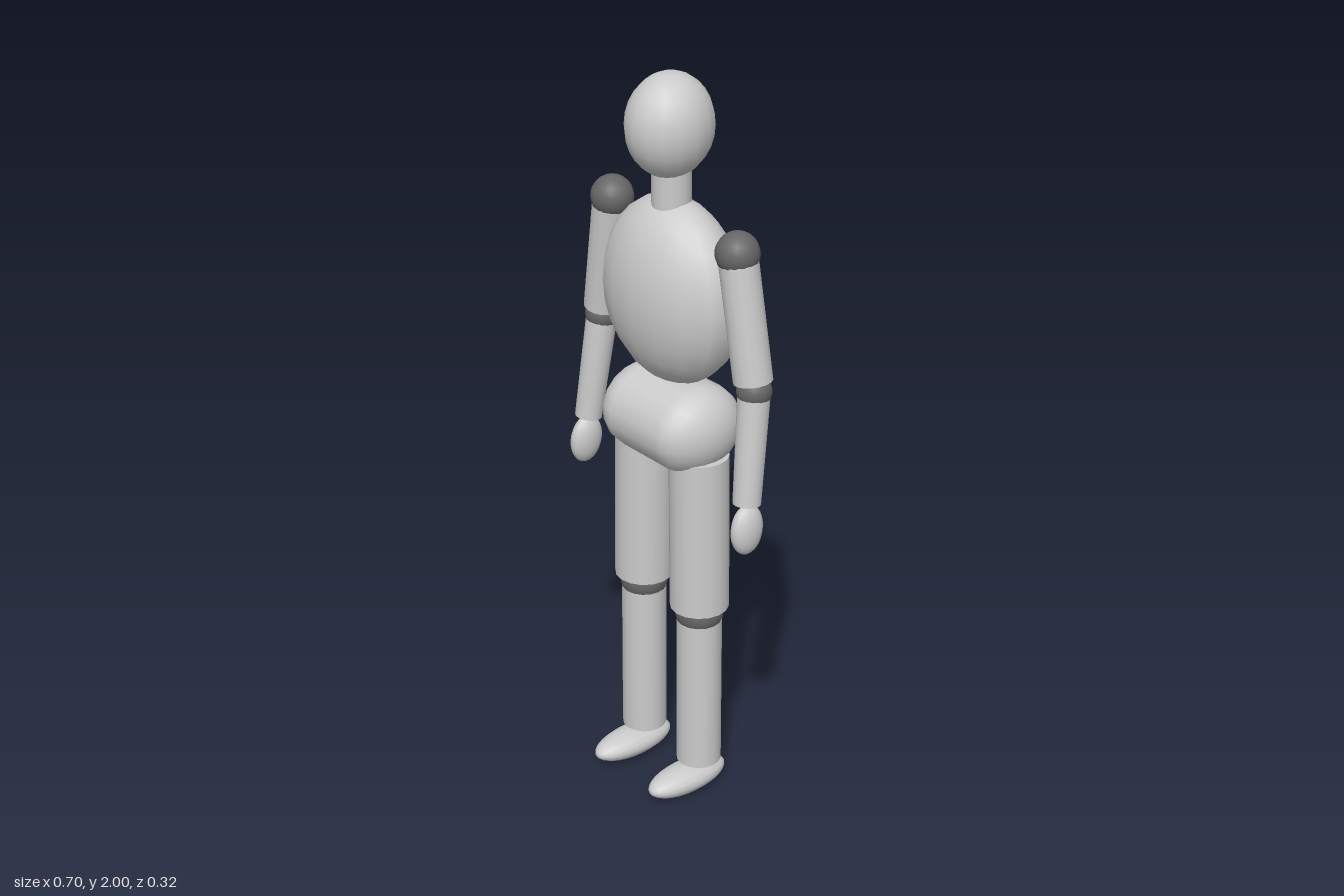
import * as THREE from 'three';

const body = new THREE.MeshStandardMaterial({ color: 0xcccccc });
const joint = new THREE.MeshStandardMaterial({ color: 0x666666 });
const V = (x, y, z) => new THREE.Vector3(x, y, z);

// Ellipsoid with the given centre and radii
function ellipsoid(name, center, radii, material = body) {
  const mesh = new THREE.Mesh(new THREE.SphereGeometry(1, 16, 14), material);
  mesh.name = name;
  mesh.position.copy(center);
  mesh.scale.copy(radii);
  return mesh;
}

const ball = (name, center, r) => ellipsoid(name, center, V(r, r, r), joint);

// Capped round limb running from its top point to its bottom point
function limb(name, top, bottom, rTop, rBottom = rTop) {
  const axis = top.clone().sub(bottom);
  const mesh = new THREE.Mesh(new THREE.CylinderGeometry(rTop, rBottom, axis.length(), 16), body);
  mesh.name = name;
  mesh.position.copy(top).add(bottom).multiplyScalar(0.5);
  mesh.quaternion.setFromUnitVectors(V(0, 1, 0), axis.normalize());
  return mesh;
}

function arm(s) {
  const group = new THREE.Group();
  group.name = s > 0 ? 'leftArm' : 'rightArm';
  const shoulder = V(s * 0.238, 1.604, -0.018);
  const elbow = V(s * 0.296, 1.255, -0.027);
  const wrist = V(s * 0.315, 0.96, 0.009);
  const hand = ellipsoid('hand', V(s * 0.321, 0.89, 0.013), V(0.03, 0.068, 0.048));
  hand.rotation.set(-0.08, 0, s * 0.04);
  group.add(
    ball('shoulderJoint', shoulder, 0.056),
    limb('upperArm', shoulder, elbow.clone().lerp(shoulder, 0.07), 0.05),
    ball('elbowJoint', elbow, 0.045),
    limb('forearm', elbow.clone().lerp(wrist, 0.05), wrist, 0.041, 0.036),
    hand
  );
  return group;
}

function leg(s) {
  const group = new THREE.Group();
  group.name = s > 0 ? 'leftLeg' : 'rightLeg';
  const foot = ellipsoid('foot', V(s * 0.114, 0.038, 0.029), V(0.055, 0.127, 0.038));
  // poles of the foot point at toe and heel
  foot.rotation.x = Math.PI / 2;
  group.add(
    limb('thigh', V(s * 0.108, 1.008, -0.013), V(s * 0.113, 0.565, -0.013), 0.078),
    ball('kneeJoint', V(s * 0.113, 0.545, -0.013), 0.064),
    limb('shin', V(s * 0.113, 0.523, -0.013), V(s * 0.114, 0.085, -0.013), 0.06),
    foot
  );
  return group;
}

export function createModel() {
  const figure = new THREE.Group();
  figure.name = 'mannequin';

  // Head, neck and trunk
  figure.add(
    ellipsoid('head', V(0, 1.867, -0.006), V(0.105, 0.133, 0.117)),
    limb('neck', V(0, 1.77, -0.012), V(0, 1.64, -0.012), 0.05),
    ellipsoid('torso', V(0, 1.43, -0.017), V(0.222, 0.248, 0.139))
  );
  const pelvis = new THREE.Mesh(new THREE.CapsuleGeometry(0.1, 0.174, 8, 18).rotateZ(Math.PI / 2), body);
  pelvis.name = 'pelvis';
  pelvis.position.set(0, 1.077, -0.013);
  pelvis.scale.set(1, 1.18, 1.34);
  figure.add(pelvis);

  // Mirrored limbs
  for (const s of [-1, 1]) figure.add(arm(s), leg(s));

  // Slight turn of the whole figure
  figure.rotation.y = -0.035;
  const model = new THREE.Group();
  model.add(figure);
  return model;
}
